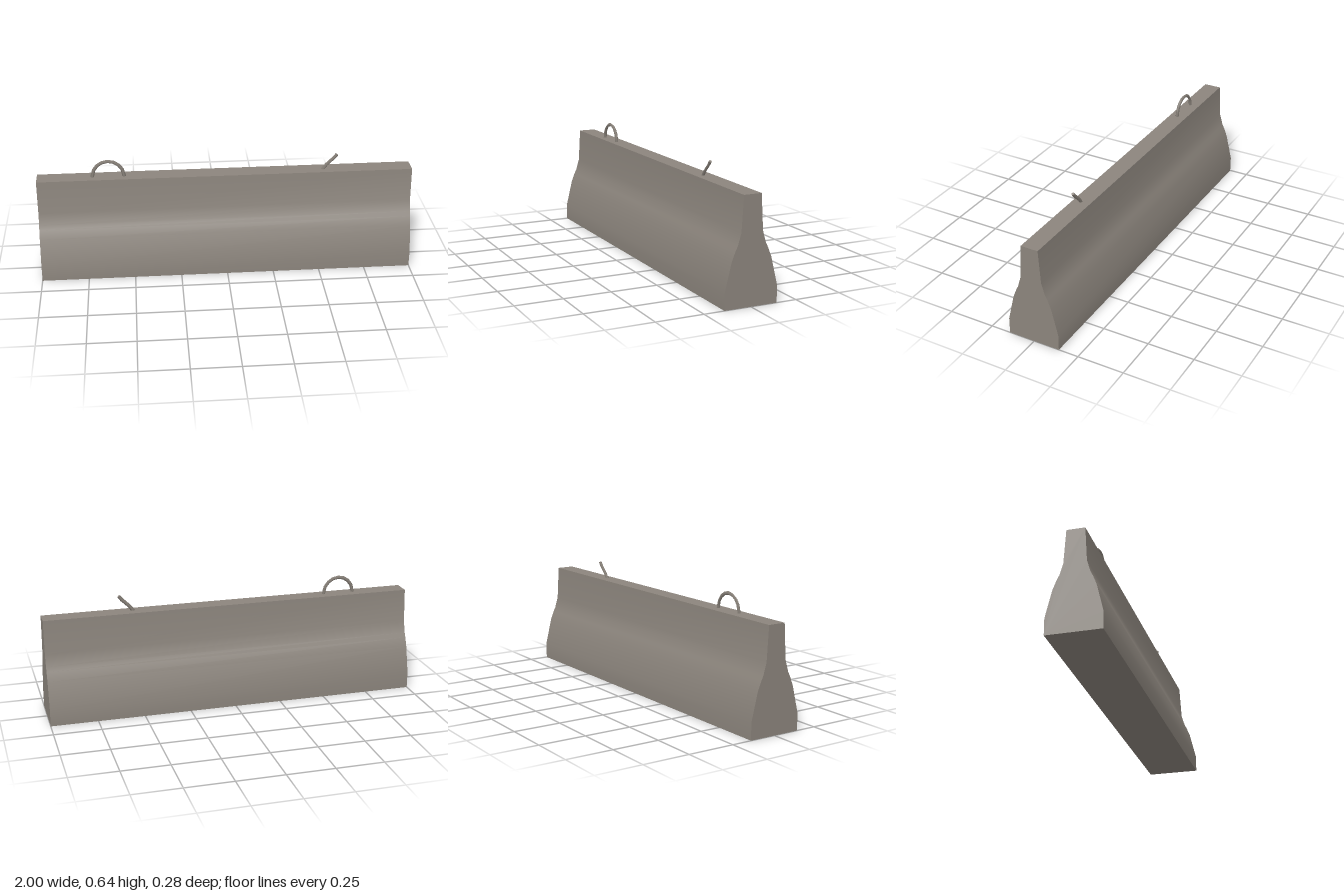
import * as THREE from 'three';
import { toCreasedNormals } from 'three/addons/utils/BufferGeometryUtils.js';

const BAR_RADIUS = 0.0095;
const BAR_Z = 0.005;

export function createModel() {
  const model = new THREE.Group();
  model.name = 'concreteBarrier';
  const concrete = new THREE.MeshStandardMaterial({ color: 0x8c857d });
  concrete.name = 'concrete grey';

  // Barrier body: mirrored half profile (half width, height) swept along x
  const half = [
    [0.142, 0], [0.142, 0.088], [0.107, 0.232], [0.088, 0.28],
    [0.076, 0.304], [0.058, 0.365], [0.047, 0.545],
  ];
  const outline = [...half, ...half.map(([w, y]) => [-w, y]).reverse()];
  const shape = new THREE.Shape(outline.map(([w, y]) => new THREE.Vector2(w, y)));
  const bodyGeometry = new THREE.ExtrudeGeometry(shape, { depth: 2, bevelEnabled: false });
  bodyGeometry.translate(0, 0, -1).rotateY(Math.PI / 2);
  const body = new THREE.Mesh(toCreasedNormals(bodyGeometry, 0.6), concrete);
  body.name = 'barrierBody';
  model.add(body);

  // Four-sided steel bar following points in the xy plane
  const addBar = (name, points, segments) => {
    const path = new THREE.CatmullRomCurve3(points.map(([x, y]) => new THREE.Vector3(x, y, BAR_Z)));
    const bar = new THREE.Mesh(new THREE.TubeGeometry(path, segments, BAR_RADIUS, 4), concrete);
    bar.name = name;
    model.add(bar);
    return path;
  };

  // Lifting loop: half ring with its feet sunk into the top
  const arc = [];
  for (let i = 0; i <= 8; i++) {
    const a = Math.PI * (1 - i / 8);
    arc.push([-0.623 + 0.084 * Math.cos(a), 0.545 + 0.088 * Math.sin(a)]);
  }
  addBar('liftingLoop', [[-0.71, 0.525], ...arc, [-0.536, 0.525]], 10);

  // Broken loop: a bent stub leaning towards +x, closed at its tip
  const stub = addBar('brokenLoop', [[0.51, 0.525], [0.526, 0.55], [0.548, 0.578], [0.575, 0.602], [0.596, 0.628]], 5);
  const cap = new THREE.Mesh(new THREE.CircleGeometry(BAR_RADIUS, 4), concrete);
  cap.name = 'brokenLoopTip';
  const tip = stub.getPoint(1);
  cap.position.copy(tip);
  cap.lookAt(tip.clone().add(stub.getTangent(1)));
  model.add(cap);

  return model;
}
